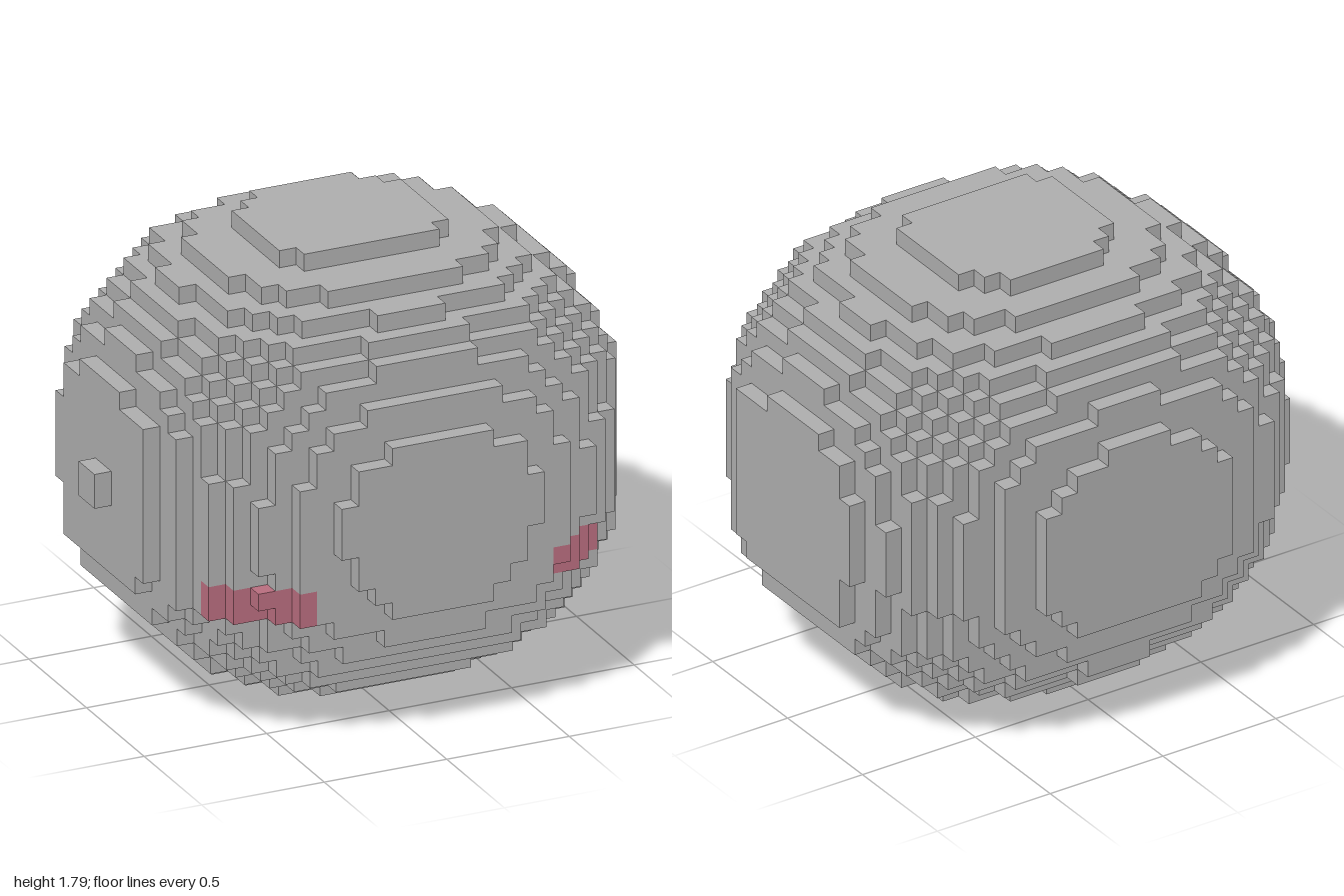
import * as THREE from 'three';
import { mergeGeometries } from 'three/addons/utils/BufferGeometryUtils.js';

const S = 2 / 29;      // edge of one block
const X0 = S / 2;      // the ball sits half a block towards +x

// Cheeks: two rows of blocks low on the front corners
function cheekSide(i, j, k) {
  if (j < 8 || j > 9 || k < 8) return null;
  if (i >= 7 && i <= 10) return 'leftCheek';
  if (i >= -12 && i <= -8) return 'rightCheek';
  return null;
}

// Ball rule: a block is filled when its corner nearest the centre lies in a soft ellipsoid
const term = (i, c, r) => (Math.max(0, i - c, c - i - 1) / r) ** 2.1;
function filled(i, j, k) {
  if (i < -14 || i > 13 || j < 1 || j > 25 || k < -13 || k > 12) return false;
  // the flat top and side caps end a little short of the front
  if ((j === 25 && k > 3) || ((i === 13 || i === -14) && k > 4)) return false;
  const x = term(i, 0, 14.1), y = term(j, 13.2, 12.45), z = term(k, -0.1, 12.85);
  // cheeks puff out, and so do the diagonal corners slightly
  const side = cheekSide(i, j, k);
  const puff = side === 'rightCheek' ? 0.08 : side === 'leftCheek' ? 0.025
    : Math.min(x, y, z) > 0.08 ? 0.03 : 0;
  return x + y + z <= 1 + puff;
}

// One outward block face for each direction
const half = Math.PI / 2;
const face = (rx, ry) => new THREE.PlaneGeometry(S, S)
  .translate(0, 0, S / 2).rotateX(rx).rotateY(ry);
const FACES = [
  { d: [1, 0, 0], g: face(0, half) },
  { d: [-1, 0, 0], g: face(0, -half) },
  { d: [0, 1, 0], g: face(-half, 0) },
  { d: [0, -1, 0], g: face(half, 0) },
  { d: [0, 0, 1], g: face(0, 0) },
  { d: [0, 0, -1], g: face(0, Math.PI) },
];

export function createModel() {
  const group = new THREE.Group();
  const grey = new THREE.MeshStandardMaterial({ color: 0xadadad });
  grey.name = 'stone grey';
  const pink = new THREE.MeshStandardMaterial({ color: 0xb86d7e });
  pink.name = 'cheek pink';

  const add = (name, geometry, material) => {
    const mesh = new THREE.Mesh(geometry, material);
    mesh.name = name;
    group.add(mesh);
    return mesh;
  };

  // Collect the exposed faces of every filled block
  const parts = { body: [], leftCheek: [], rightCheek: [] };
  for (let i = -14; i < 14; i++)
    for (let j = 1; j < 26; j++)
      for (let k = -13; k < 13; k++) {
        if (!filled(i, j, k)) continue;
        const part = parts[cheekSide(i, j, k) ?? 'body'];
        for (const { d, g } of FACES) {
          if (filled(i + d[0], j + d[1], k + d[2])) continue;
          part.push(g.clone().translate(X0 + (i + 0.5) * S, (j + 0.5) * S, (k + 0.5) * S));
        }
      }
  for (const [name, faces] of Object.entries(parts))
    add(name, mergeGeometries(faces), name === 'body' ? grey : pink);

  // Small nubs on the right side and underneath
  add('sideNub', new THREE.BoxGeometry(S, 2 * S, 2 * S), grey).position.set(-1 + S / 2, 13 * S, 0);
  add('bottomNub', new THREE.BoxGeometry(2 * S, S, 2 * S), grey).position.set(X0, S / 2, 0);

  return group;
}
